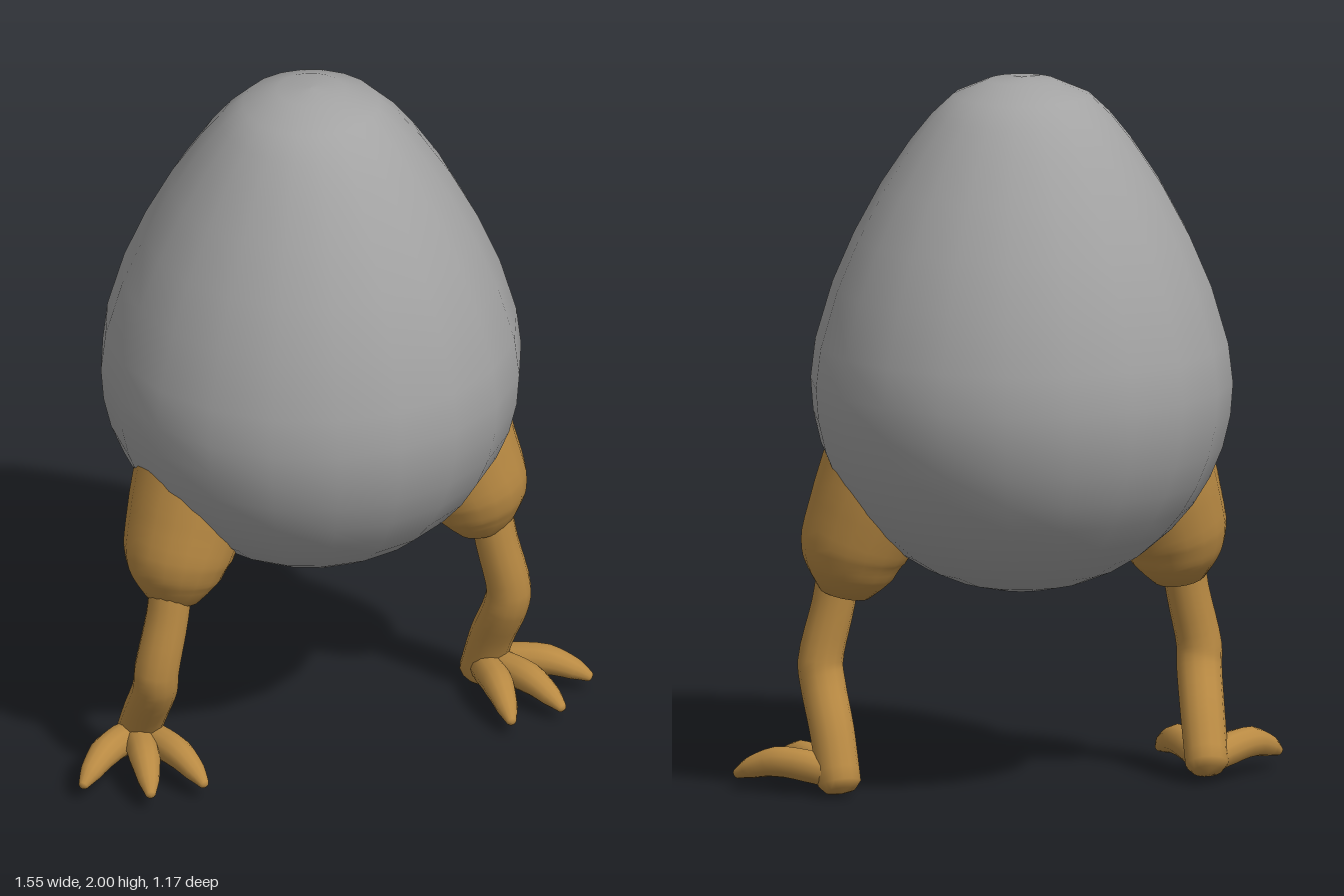
import * as THREE from 'three';

const shellGrey = new THREE.MeshStandardMaterial({ color: 0xa3a3a3 });
shellGrey.name = 'shellGrey';
const legOchre = new THREE.MeshStandardMaterial({ color: 0xb98a43 });
legOchre.name = 'legOchre';

// Closed round limb through stations [x, y, z, radius]; ref fixes the ring orientation.
function limb(name, stations, ref, steps = 12, sides = 14) {
  const curve = new THREE.CatmullRomCurve3(stations.map(s => new THREE.Vector3(s[0], s[1], s[2])), false, 'centripetal');
  const n = stations.length - 1;
  const rings = [];
  for (let i = 0; i <= steps; i++) {
    const t = i / steps, k = Math.min(Math.floor(t * n), n - 1), f = t * n - k;
    rings.push([curve.getPoint(t), curve.getTangent(t), THREE.MathUtils.lerp(stations[k][3], stations[k + 1][3], f)]);
  }
  // Rounded ends: a smaller ring, then a point
  const cap = ([p, t, r], sign) => [[0.7, 0.35], [0, 0.5]].map(([s, d]) =>
    [p.clone().addScaledVector(t, sign * d * r), t, r * s]);
  rings.unshift(...cap(rings[0], -1).reverse());
  rings.push(...cap(rings[rings.length - 1], 1));

  const pos = [], idx = [];
  rings.forEach(([p, t, r], i) => {
    const u = ref.clone().addScaledVector(t, -ref.dot(t)).normalize();
    const v = new THREE.Vector3().crossVectors(t, u);
    for (let j = 0; j < sides; j++) {
      const a = (j / sides) * Math.PI * 2;
      const q = p.clone().addScaledVector(u, r * Math.cos(a)).addScaledVector(v, r * Math.sin(a));
      pos.push(q.x, q.y, q.z);
      if (i < rings.length - 1) {
        const A = i * sides + j, B = i * sides + (j + 1) % sides;
        idx.push(A, B, B + sides, A, B + sides, A + sides);
      }
    }
  });
  const g = new THREE.BufferGeometry();
  g.setAttribute('position', new THREE.Float32BufferAttribute(pos, 3));
  g.setIndex(idx);
  g.computeVertexNormals();
  const mesh = new THREE.Mesh(g, legOchre);
  mesh.name = name;
  return mesh;
}

// Egg: round below the waist, taller and more pointed above it
function egg() {
  const R = 0.585, waist = 1.15, pts = [];
  for (let i = 0; i <= 10; i++) {
    const a = (i / 10) * Math.PI / 2;
    pts.push(new THREE.Vector2(R * Math.sin(a), waist - R * Math.cos(a)));
  }
  for (const [r, y] of [[0.572, 1.26], [0.525, 1.42], [0.465, 1.56], [0.39, 1.7],
    [0.31, 1.82], [0.25, 1.895], [0.19, 1.952], [0.095, 1.993], [0, 2]]) pts.push(new THREE.Vector2(r, y));
  const mesh = new THREE.Mesh(new THREE.LatheGeometry(pts, 20), shellGrey);
  mesh.name = 'eggBody';
  return mesh;
}

// One leg; s = 1 for the left, -1 for the right, whose foot sits slightly back and higher
function leg(s) {
  const group = new THREE.Group();
  group.name = s > 0 ? 'leftLeg' : 'rightLeg';
  const dz = s > 0 ? 0 : -0.035, dy = s > 0 ? 0 : 0.016;
  const side = list => list.map(([x, y, z, r]) => [s * x, y, z, r]);
  const forward = new THREE.Vector3(0, 0, 1), up = new THREE.Vector3(0, 1, 0);

  group.add(limb('thigh', side([
    [0.36, 0.95, 0.055, 0.18], [0.41, 0.81, 0.075, 0.169], [0.452, 0.69, 0.095, 0.153],
    [0.464, 0.625, 0.103, 0.128], [0.47, 0.59, 0.108, 0.102]]), forward, 16, 18));

  group.add(limb('shin', side([
    [0.485, 0.64, 0.125, 0.06], [0.503, 0.52, 0.135, 0.06], [0.538, 0.36, 0.14, 0.063],
    [0.535, 0.3, 0.125, 0.063], [0.525, 0.18, 0.06 + dz / 2, 0.062],
    [0.518, 0.04 + dy, 0.0 + dz, 0.06]]), forward, 20));

  // Three arched, tapering toes given by their tips
  [['outerToe', 0.77, 0.185], ['middleToe', 0.622, 0.315], ['innerToe', 0.46, 0.325]].forEach(([name, tx, tz]) => {
    const path = [[0, 0.06, 0.04], [0.3, 0.082, 0.046], [0.6, 0.088, 0.043], [0.85, 0.066, 0.03], [0.985, 0.046, 0.014]];
    group.add(limb(name, side(path.map(([f, y, r]) =>
      [0.518 + (tx - 0.518) * f, y + dy * 0.3, (tz + dz) * f + dz * (1 - f), r])), up, 12, 12));
  });
  return group;
}

export function createModel() {
  const model = new THREE.Group();
  model.name = 'eggOnLegs';
  model.add(egg(), leg(1), leg(-1));
  model.position.x = -0.006;
  return model;
}
